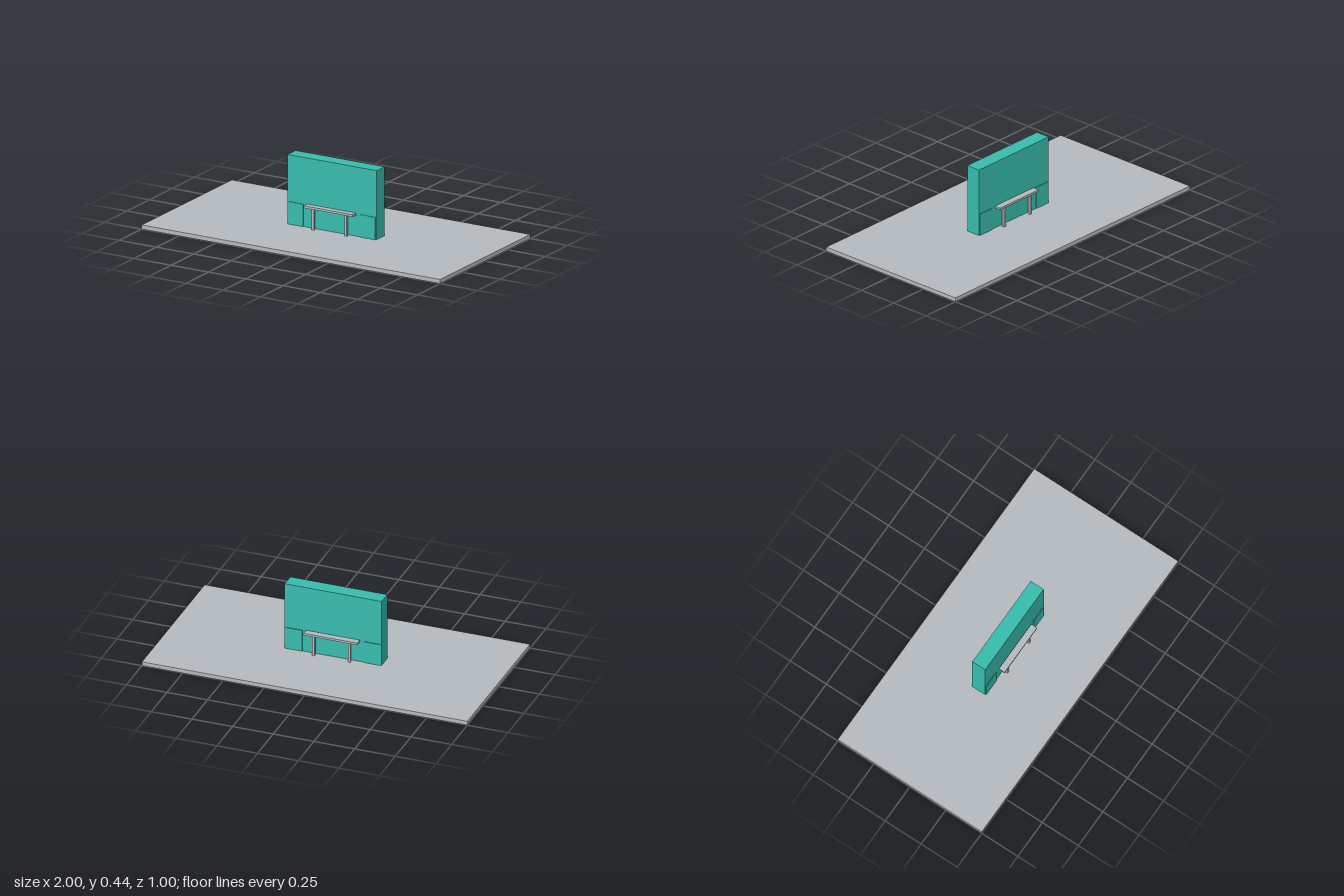
import * as THREE from 'three';

const teal = new THREE.MeshStandardMaterial({ color: 0x38bdae });
teal.name = 'teal';
const grey = new THREE.MeshStandardMaterial({ color: 0xb5babf });
grey.name = 'grey';

// Box given by its lower and upper corners
function box(name, material, [x0, y0, z0], [x1, y1, z1]) {
  const mesh = new THREE.Mesh(new THREE.BoxGeometry(x1 - x0, y1 - y0, z1 - z0), material);
  mesh.position.set((x0 + x1) / 2, (y0 + y1) / 2, (z0 + z1) / 2);
  mesh.name = name;
  return mesh;
}

function rectangle(target, w, d) {
  target.moveTo(-w, -d).lineTo(w, -d).lineTo(w, d).lineTo(-w, d).closePath();
  return target;
}

export function createModel() {
  const model = new THREE.Group();
  model.name = 'wallWithBenches';
  const ground = 0.025, wallX = 0.298, wallZ = 0.045;

  // Floor slab with a slot that the wall passes through
  const outline = rectangle(new THREE.Shape(), 1, 0.5);
  outline.holes.push(rectangle(new THREE.Path(), wallX, wallZ));
  const slab = new THREE.Mesh(
    new THREE.ExtrudeGeometry(outline, { depth: ground, bevelEnabled: false }).rotateX(-Math.PI / 2),
    grey
  );
  slab.name = 'floorSlab';
  model.add(slab);

  // Central wall, reaching the underside of the slab
  model.add(box('wall', teal, [-wallX, 0, -wallZ], [wallX, 0.441, wallZ]));

  // Each face of the wall has two raised panels and a bench
  for (const [name, turn] of [['front', 0], ['back', Math.PI]]) {
    const side = new THREE.Group();
    side.name = name + 'Side';
    side.rotation.y = turn;
    for (const s of [-1, 1]) {
      const panel = box('lowerPanel', teal, [-0.051, ground, wallZ - 0.002], [0.051, 0.16, 0.05]);
      panel.position.x = s * 0.241;
      const leg = box('benchLeg', grey, [-0.0075, ground, 0.062], [0.0075, 0.154, 0.077]);
      leg.position.x = s * 0.11;
      side.add(panel, leg);
    }
    side.add(box('benchSeat', grey, [-0.165, 0.153, 0.049], [0.165, 0.166, 0.089]));
    model.add(side);
  }
  return model;
}
